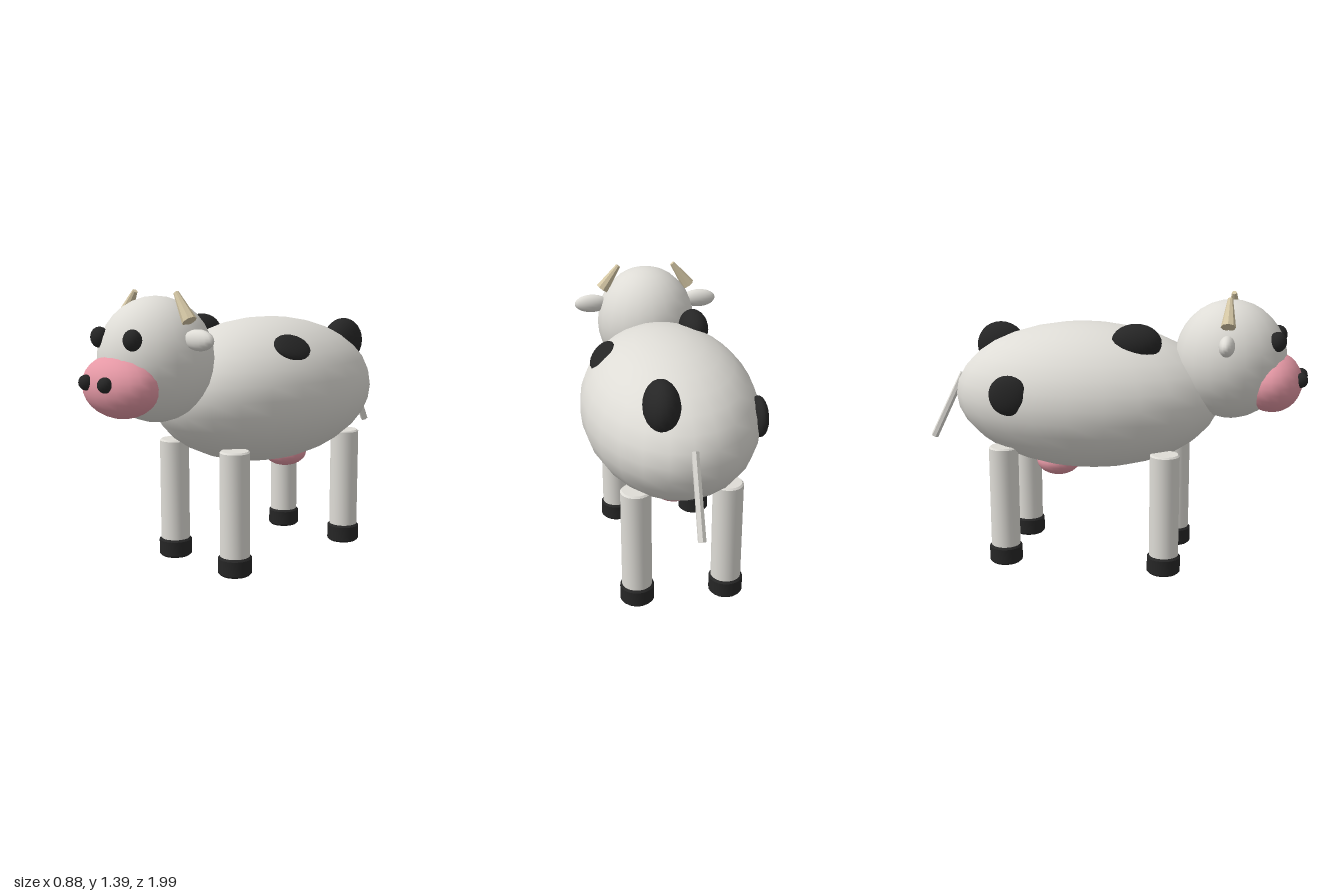
import * as THREE from 'three';
import { toCreasedNormals } from 'three/addons/utils/BufferGeometryUtils.js';

const flat = (name, color) => {
  const m = new THREE.MeshStandardMaterial({ color });
  m.name = name;
  return m;
};

export function createModel() {
  const cow = new THREE.Group();
  cow.name = 'cow';
  const white = flat('hide white', 0xdedcd6);
  const black = flat('patch black', 0x262626);
  const pink = flat('skin pink', 0xe598a5);
  const horn = flat('horn tan', 0xd6c8a6);

  const add = (name, geometry, material, x, y, z) => {
    const mesh = new THREE.Mesh(geometry, material);
    mesh.name = name;
    mesh.position.set(x, y, z);
    cow.add(mesh);
    return mesh;
  };

  // Ellipsoid from centre and radii
  const blob = (name, material, [x, y, z], [rx, ry, rz], w = 24, h = 16) => {
    const g = new THREE.SphereGeometry(1, w, h).scale(rx, ry, rz);
    return add(name, g, material, x, y, z);
  };

  // Upright cylinder with small bevelled rims
  const post = (r, y0, y1, bevel) => {
    const profile = [[0, y0], [r - bevel, y0], [r, y0 + bevel], [r, y1 - bevel], [r - bevel, y1], [0, y1]];
    const g = new THREE.LatheGeometry(profile.map(([a, b]) => new THREE.Vector2(a, b)), 20);
    return toCreasedNormals(g, 0.6);
  };

  // Tapered rod between two points
  const rod = (name, material, from, to, r0, r1, sides) => {
    const a = new THREE.Vector3(...from), b = new THREE.Vector3(...to);
    const dir = b.clone().sub(a);
    const g = toCreasedNormals(new THREE.CylinderGeometry(r1, r0, dir.length(), sides), 0.5);
    const mesh = add(name, g, material, 0, 0, 0);
    mesh.position.copy(a).add(b).multiplyScalar(0.5);
    mesh.quaternion.setFromUnitVectors(new THREE.Vector3(0, 1, 0), dir.normalize());
  };

  // Body, udder and tail
  blob('body', white, [0, 0.865, -0.13], [0.442, 0.376, 0.692]);
  blob('udder', pink, [0, 0.502, -0.283], [0.116, 0.077, 0.116], 20, 12);
  rod('tail', white, [0, 0.95, -0.8], [0, 0.597, -0.977], 0.018, 0.02, 6);

  // Head and muzzle
  blob('head', white, [0, 1.072, 0.61], [0.27, 0.297, 0.28], 20, 16);
  blob('muzzle', pink, [0, 0.965, 0.82], [0.222, 0.15, 0.15], 20, 14);

  // Paired face parts
  for (const s of [1, -1]) {
    const side = s > 0 ? 'left' : 'right';
    blob(side + 'Eye', black, [s * 0.122, 1.182, 0.842], [0.045, 0.049, 0.043], 16, 12);
    blob(side + 'Nostril', black, [s * 0.071, 0.988, 0.96], [0.036, 0.036, 0.035], 14, 10);
    blob(side + 'Ear', white, [s * 0.302, 1.18, 0.61], [0.093, 0.049, 0.038], 16, 12);
    rod(side + 'Horn', horn, [s * 0.24, 1.262, 0.61], [s * 0.15, 1.387, 0.61], 0.036, 0.013, 8);
  }

  // Legs with hooves
  const leg = post(0.075, 0.08, 0.622, 0.008);
  const hoof = post(0.085, 0, 0.095, 0.01);
  for (const [end, z] of [['front', 0.315], ['back', -0.517]]) {
    for (const s of [1, -1]) {
      const side = s > 0 ? 'Left' : 'Right';
      add(end + side + 'Leg', leg, white, s * 0.225, 0, z);
      add(end + side + 'Hoof', hoof, black, s * 0.225, 0, z);
    }
  }

  // Dark patches on the hide
  blob('rumpPatch', black, [0.117, 1.09, -0.62], [0.086, 0.125, 0.132], 20, 14);
  blob('shoulderPatch', black, [-0.182, 1.168, 0.162], [0.075, 0.092, 0.125], 20, 14);
  blob('leftPatch', black, [0.313, 1.108, 0.003], [0.082, 0.028, 0.118], 20, 14).rotation.z = -0.77;
  blob('rightPatch', black, [-0.385, 0.92, -0.435], [0.042, 0.1, 0.1], 20, 14);

  return cow;
}
